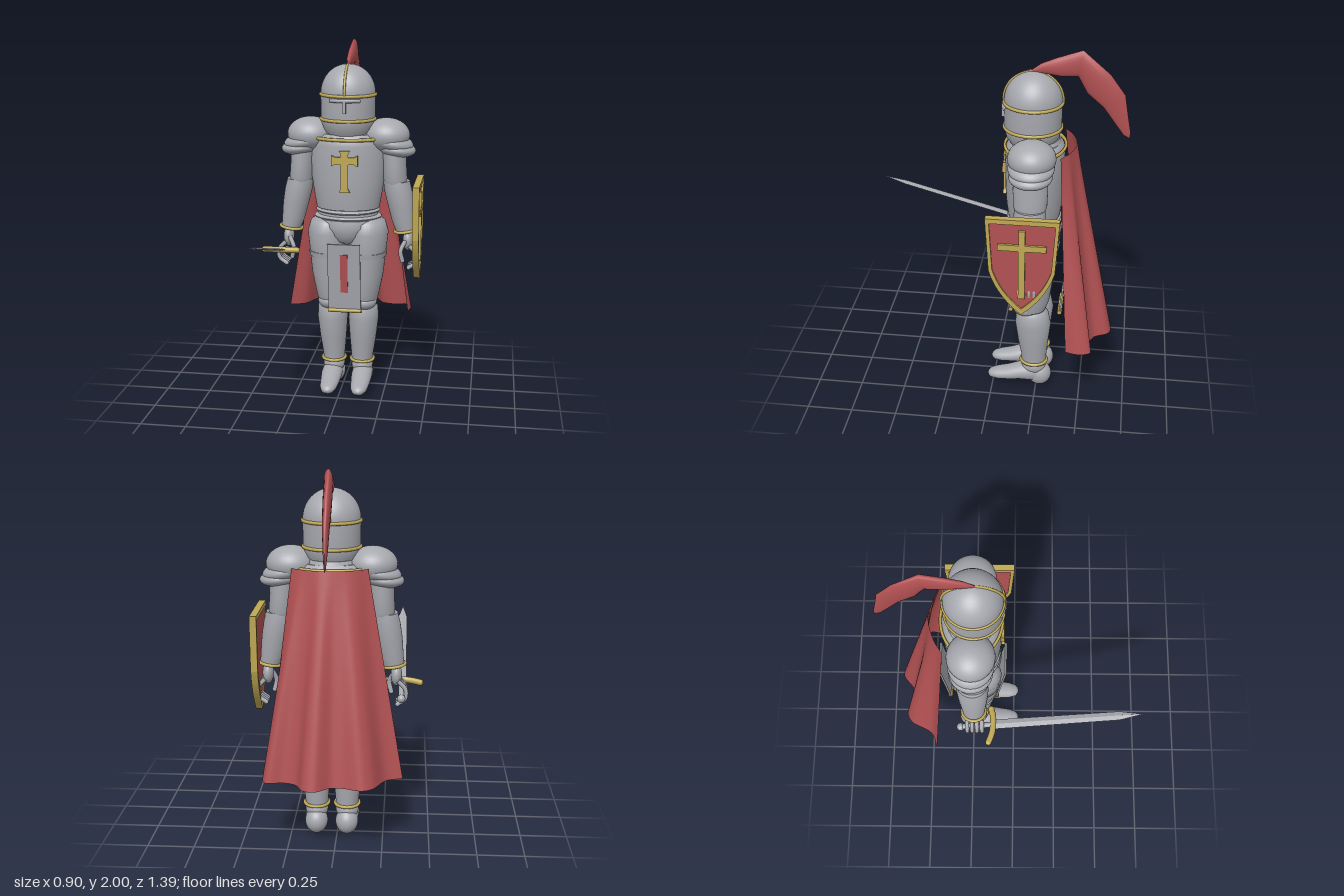
import * as THREE from 'three';

const V = (x, y, z) => new THREE.Vector3(x, y, z);
const CX = 0.03, CZ = -0.215; // body axis

export function createModel() {
  const root = new THREE.Group();
  root.name = 'knight';
  const mat = (name, color, side = THREE.FrontSide) => {
    const m = new THREE.MeshStandardMaterial({ color, side });
    m.name = name;
    return m;
  };
  const steel = mat('steel', 0xa7a9af);
  const gold = mat('gold', 0xbfa853);
  const red = mat('red cloth', 0xb25153, THREE.DoubleSide);

  const add = (name, geo, m, parent = root) => {
    const mesh = new THREE.Mesh(geo, m);
    mesh.name = name;
    parent.add(mesh);
    return mesh;
  };

  // Closed skin through elliptical rings [centre, u, v]; runs along v x u
  const loft = (name, rings, m, parent = root, n = 32, flat = false) => {
    const zero = V(0, 0, 0), last = rings[rings.length - 1];
    const all = [[rings[0][0], zero, zero], rings[0], ...rings, last, [last[0], zero, zero]];
    const pos = [], idx = [];
    all.forEach(([c, u, v], j) => {
      for (let i = 0; i < n; i++) {
        const a = (i / n) * Math.PI * 2;
        const p = c.clone().addScaledVector(u, Math.cos(a)).addScaledVector(v, Math.sin(a));
        pos.push(p.x, p.y, p.z);
        if (j === all.length - 1) continue;
        const k = (i + 1) % n, A = j * n + i, B = j * n + k;
        idx.push(A, A + n, B, B, A + n, B + n);
      }
    });
    let g = new THREE.BufferGeometry();
    g.setAttribute('position', new THREE.Float32BufferAttribute(pos, 3));
    g.setIndex(idx);
    if (flat) g = g.toNonIndexed();
    g.computeVertexNormals();
    return add(name, g, m, parent);
  };
  // Upright ring: height, x, z, radii
  const up = (y, x, z, rx, rz) => [V(x, y, z), V(rx, 0, 0), V(0, 0, rz)];
  const body = (name, rows, m = steel) => loft(name, rows.map(([y, rx, rz]) => up(y, CX, CZ, rx, rz)), m, root, 48);
  const ball = (name, x, y, z, rx, ry, rz, m = steel, parent = root) => {
    const b = add(name, new THREE.SphereGeometry(1, 32, 20), m, parent);
    b.position.set(x, y, z);
    b.scale.set(rx, ry, rz);
    return b;
  };
  const band = (name, x, y, z, rx, rz, r = 0.009, parent = root) => {
    const g = new THREE.TorusGeometry(1, r / rx, 8, 48).rotateX(Math.PI / 2).scale(rx, rx, rz);
    const b = add(name, g, gold, parent);
    b.position.set(x, y, z);
    return b;
  };
  const box = (name, w, h, d, x, y, z, m, parent = root) => {
    const b = add(name, new THREE.BoxGeometry(w, h, d), m, parent);
    b.position.set(x, y, z);
    return b;
  };
  const tube = (name, pts, r, m, parent = root) => {
    add(name, new THREE.TubeGeometry(new THREE.CatmullRomCurve3(pts), 16, r, 10), m, parent);
    ball(name + 'Tip', ...pts[pts.length - 1].toArray(), r, r, r, m, parent);
  };

  // Helmet: straight sides and a domed crown
  const hz = -0.2;
  const rows = [[1.46, 0.1], [1.5, 0.122], [1.53, 0.14], [1.575, 0.15], [1.72, 0.152]];
  for (let i = 1; i <= 10; i++) {
    const a = (i / 10) * Math.PI / 2;
    rows.push([1.72 + 0.16 * Math.sin(a), Math.max(0.152 * Math.cos(a), 0.001)]);
  }
  loft('helmet', rows.map(([y, r]) => up(y, CX, hz, r, r)), steel, root, 48);
  band('helmetBrowBand', CX, 1.715, hz, 0.152, 0.152);
  band('helmetLowerBand', CX, 1.58, hz, 0.15, 0.15);
  const ridge = add('helmetRidge', new THREE.TorusGeometry(0.155, 0.007, 8, 40, Math.PI), gold);
  ridge.rotation.y = Math.PI / 2;
  ridge.position.set(CX, 1.722, hz);
  const slit = add('visorBrow', new THREE.TorusGeometry(0.155, 0.01, 8, 16, 1.1).rotateX(Math.PI / 2), steel);
  slit.rotation.y = -Math.PI / 2 + 0.55;
  slit.position.set(CX, 1.692, hz);
  box('visorBar', 0.016, 0.07, 0.022, CX, 1.66, -0.046, steel);

  // Plume: z, y, half width, half height and slope of each section
  const plume = [[-0.18, 1.875, 0.004, 0.004, 0.3], [-0.25, 1.895, 0.016, 0.03, 0.45], [-0.33, 1.905, 0.022, 0.052, 0.3],
    [-0.435, 1.93, 0.024, 0.07, -0.15], [-0.53, 1.825, 0.022, 0.078, -0.85], [-0.612, 1.735, 0.018, 0.065, -1.0],
    [-0.65, 1.64, 0.013, 0.04, -1.2], [-0.685, 1.56, 0.006, 0.02, -1.2], [-0.698, 1.538, 0.002, 0.003, -1.2]];
  loft('plume', plume.map(([z, y, w, h, t]) => {
    const d = V(0, Math.sin(t), -Math.cos(t));
    return [V(CX, y, z), V(w, 0, 0), V(1, 0, 0).cross(d).multiplyScalar(h)];
  }), red, root, 20);

  // Torso, waist and hips
  body('breastplate', [[1.08, 0.178, 0.14], [1.15, 0.19, 0.15], [1.25, 0.205, 0.156], [1.36, 0.21, 0.158],
    [1.44, 0.205, 0.157], [1.475, 0.2, 0.152], [1.5, 0.16, 0.13]]);
  body('gorget', [[1.48, 0.145, 0.14], [1.52, 0.125, 0.125]]);
  band('collarBand', CX, 1.478, CZ, 0.21, 0.16, 0.01);
  body('waist', [[0.98, 0.175, 0.135], [1.09, 0.165, 0.13]]);
  for (const [y, r] of [[1.065, 0.172], [1.03, 0.182]]) ball('waistLame', CX, y, CZ, r + 0.01, 0.025, 0.148);
  body('pelvis', [[0.87, 0.03, 0.06], [0.89, 0.09, 0.11], [0.93, 0.14, 0.14], [0.98, 0.18, 0.15], [1.02, 0.185, 0.142]]);

  // Cross on the chest, with flared ends
  const bar = (len) => {
    const s = new THREE.Shape(), h = len / 2;
    [[-h, -0.03], [-h + 0.02, -0.02], [h - 0.02, -0.02], [h, -0.03], [h, 0.03], [h - 0.02, 0.02], [-h + 0.02, 0.02], [-h, 0.03]]
      .forEach(([x, y], i) => (i ? s.lineTo(x, y) : s.moveTo(x, y)));
    return new THREE.ExtrudeGeometry(s, { depth: 0.022, bevelEnabled: false });
  };
  add('chestCrossUpright', bar(0.23).rotateZ(Math.PI / 2), gold).position.set(CX, 1.305, -0.07);
  add('chestCrossArm', bar(0.145), gold).position.set(CX, 1.365, -0.0705);

  // Hanging panels, front and back
  for (const [name, z, tilt, turn] of [['frontPanel', -0.072, 0.137, 0], ['backPanel', -0.392, -0.09, Math.PI]]) {
    const g = new THREE.Group();
    g.name = name;
    box('panelPlate', 0.184, 0.4, 0.01, 0, 0, 0, steel, g);
    box('panelStripe', 0.042, 0.23, 0.006, 0, 0.025, 0.005, red, g);
    const roll = add('panelRoll', new THREE.CylinderGeometry(0.013, 0.013, 0.19, 12).rotateZ(Math.PI / 2), gold, g);
    roll.position.y = -0.203;
    g.position.set(0.027, 0.698, z);
    g.rotation.set(tilt, turn, 0);
    root.add(g);
  }

  // Limbs, mirrored about the body axis
  for (const s of [1, -1]) {
    const side = s > 0 ? 'left' : 'right';
    const g = new THREE.Group();
    g.name = side + 'Limbs';
    root.add(g);
    const X = (o) => CX + s * o;
    const limb = (name, list) => loft(name, list.map(([y, o, z, rx, rz]) => up(y, X(o), z, rx, rz)), steel, g);

    // Shoulder lames
    ball('pauldron', X(0.213), 1.49, CZ, 0.13, 0.095, 0.125, steel, g);
    ball('pauldronLame', X(0.24), 1.452, CZ, 0.125, 0.052, 0.12, steel, g).rotation.z = -s * 0.2;
    ball('pauldronLame', X(0.27), 1.415, CZ, 0.108, 0.045, 0.112, steel, g).rotation.z = -s * 0.12;

    // Arm
    limb('upperArm', [[1.21, 0.268, CZ, 0.06, 0.075], [1.25, 0.265, CZ, 0.067, 0.088], [1.33, 0.26, CZ, 0.066, 0.09], [1.43, 0.255, CZ, 0.07, 0.09]]);
    limb('forearm', [[0.95, 0.327, CZ, 0.056, 0.058], [1.0, 0.315, CZ, 0.064, 0.066], [1.1, 0.298, CZ, 0.074, 0.078],
      [1.18, 0.282, CZ, 0.078, 0.084], [1.235, 0.272, CZ, 0.074, 0.08]]);
    band('wristBand', X(0.328), 0.95, CZ, 0.061, 0.063, 0.009, g).rotation.z = s * 0.15;

    // Hand with curled fingers
    ball('palm', X(0.342), 0.895, CZ, 0.03, 0.06, 0.05, steel, g);
    for (let i = 0; i < 4; i++) {
      const z = CZ - 0.04 + i * 0.027;
      tube('finger', [V(X(0.352), 0.87, z), V(X(0.392), 0.825, z), V(X(0.39), 0.775, z), V(X(0.35), 0.742, z)], 0.012, steel, g);
    }
    tube('thumb', [V(X(0.33), 0.9, CZ + 0.04), V(X(0.305), 0.84, CZ + 0.055), V(X(0.315), 0.785, CZ + 0.05)], 0.013, steel, g);

    // Leg
    limb('thigh', [[0.52, 0.092, -0.21, 0.075, 0.085], [0.58, 0.097, -0.21, 0.084, 0.105], [0.7, 0.105, -0.21, 0.1, 0.122],
      [0.83, 0.11, -0.213, 0.108, 0.135], [0.94, 0.114, -0.215, 0.116, 0.148], [1.0, 0.112, -0.215, 0.1, 0.13], [1.03, 0.11, -0.215, 0.06, 0.09]]);
    limb('thighCuff', [[0.8, 0.11, -0.213, 0.109, 0.135], [0.83, 0.11, -0.213, 0.114, 0.14]]);
    ball('kneeCop', X(0.092), 0.53, -0.19, 0.078, 0.052, 0.08, steel, g);
    limb('greave', [[0.15, 0.083, -0.235, 0.06, 0.068], [0.2, 0.083, -0.235, 0.064, 0.071], [0.3, 0.087, -0.23, 0.076, 0.085],
      [0.42, 0.09, -0.228, 0.087, 0.1], [0.49, 0.09, -0.222, 0.084, 0.09], [0.51, 0.09, -0.22, 0.06, 0.07]]);
    band('ankleBand', X(0.083), 0.165, -0.235, 0.066, 0.072, 0.009, g);
    ball('heel', X(0.083), 0.072, -0.268, 0.062, 0.072, 0.068, steel, g);
    ball('ankle', X(0.083), 0.13, -0.235, 0.062, 0.06, 0.07, steel, g);
    const foot = [[-0.29, 0.08, 0.045, 0.055], [-0.23, 0.09, 0.058, 0.062], [-0.16, 0.083, 0.06, 0.05], [-0.09, 0.065, 0.054, 0.04],
      [-0.03, 0.056, 0.048, 0.034], [0.01, 0.052, 0.036, 0.025], [0.025, 0.05, 0.018, 0.013], [0.029, 0.05, 0.003, 0.003]];
    loft('foot', foot.map(([z, y, w, h]) => [V(X(0.088), y, z), V(w, 0, 0), V(0, -h, 0)]), steel, g);
  }

  // Sword, held in the right hand and pointing forward
  const sword = new THREE.Group();
  sword.name = 'sword';
  sword.position.set(-0.34, 0.835, -0.115);
  sword.rotation.x = -0.268;
  root.add(sword);
  loft('blade', [[0, 0.027, 0.007], [0.71, 0.024, 0.006], [0.835, 0.001, 0.001]]
    .map(([z, w, h]) => [V(0, 0, z), V(w, 0, 0), V(0, -h, 0)]), steel, sword, 4, true);
  tube('guard', [V(-0.1, 0, -0.022), V(-0.05, 0, -0.003), V(0, 0, 0.004), V(0.05, 0, 0.002), V(0.09, 0, -0.008)], 0.017, gold, sword);
  ball('guardTip', -0.1, 0, -0.022, 0.017, 0.017, 0.017, gold, sword);
  add('grip', new THREE.CylinderGeometry(0.016, 0.016, 0.18, 12).rotateX(Math.PI / 2), steel, sword).position.z = -0.09;
  ball('pommel', 0, 0, -0.185, 0.022, 0.022, 0.022, steel, sword);

  // Shield on the left arm, facing +x
  const shield = new THREE.Group();
  shield.name = 'shield';
  shield.position.set(0.408, 1, -0.19);
  shield.rotation.y = Math.PI / 2;
  root.add(shield);
  const outline = (p, k) => {
    p.moveTo(0, -0.32 * k);
    p.quadraticCurveTo(0.13 * k, -0.21 * k, 0.172 * k, -0.06 * k);
    p.lineTo(0.19 * k, 0.24 * k);
    p.lineTo(-0.19 * k, 0.24 * k);
    p.lineTo(-0.172 * k, -0.06 * k);
    p.quadraticCurveTo(-0.13 * k, -0.21 * k, 0, -0.32 * k);
    return p;
  };
  const rim = outline(new THREE.Shape(), 1);
  rim.holes.push(outline(new THREE.Path(), 0.89));
  add('shieldRim', new THREE.ExtrudeGeometry(rim, { depth: 0.037, bevelEnabled: false }), gold, shield);
  add('shieldFace', new THREE.ExtrudeGeometry(outline(new THREE.Shape(), 0.9), { depth: 0.022, bevelEnabled: false }), red, shield).position.z = 0.004;
  box('shieldCrossUpright', 0.034, 0.4, 0.018, 0, -0.02, 0.031, gold, shield);
  box('shieldCrossArm', 0.25, 0.034, 0.017, 0, 0.08, 0.031, gold, shield);

  // Cape: ruled between a short shoulder curve and a wavy hem
  const curve = (y, pts) => new THREE.CatmullRomCurve3(pts.map(([x, z]) => V(x, y, z)));
  const top = curve(1.49, [[-0.165, -0.36], [-0.09, -0.405], [0.03, -0.435], [0.15, -0.405], [0.225, -0.36]]);
  const hem = curve(0.4, [[-0.355, -0.45], [-0.27, -0.485], [-0.2, -0.605], [-0.145, -0.632], [-0.05, -0.605], [0.01, -0.605],
    [0.09, -0.662], [0.15, -0.65], [0.195, -0.575], [0.26, -0.55], [0.35, -0.56], [0.375, -0.5], [0.36, -0.425]]);
  const cape = new THREE.PlaneGeometry(1, 1, 96, 16);
  const p = cape.attributes.position;
  for (let i = 0; i < p.count; i++) {
    const u = p.getX(i) + 0.5, t = 0.5 - p.getY(i);
    const q = top.getPointAt(u).lerp(hem.getPointAt(u), t);
    p.setXYZ(i, q.x, q.y, q.z);
  }
  cape.computeVertexNormals();
  add('cape', cape, red);

  return root;
}
